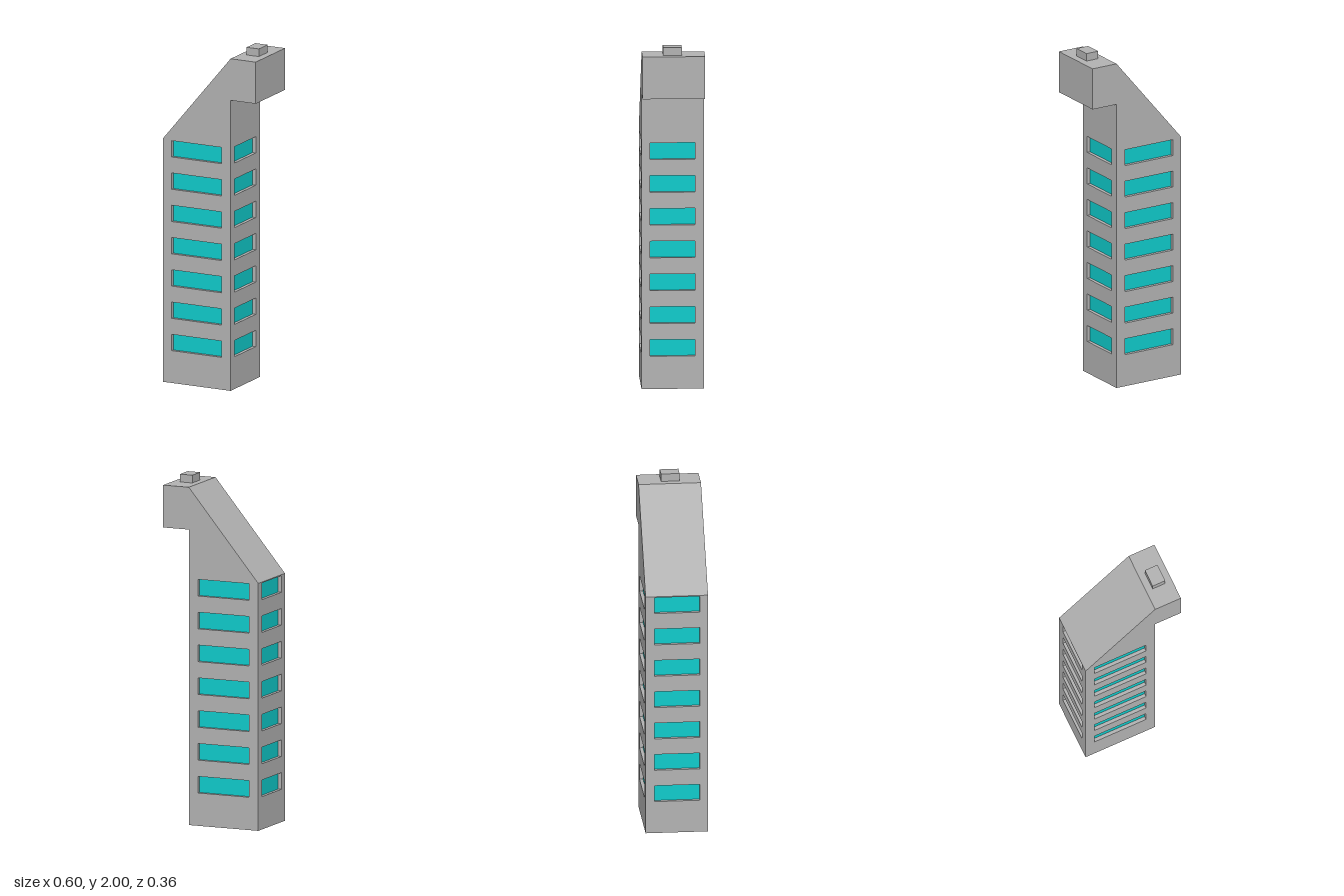
import * as THREE from 'three';

const X0 = -0.3, X1 = 0.137, Z0 = -0.18, Z1 = 0.177;
const EAVE = 1.432, PEAK = 1.955, DEPTH = 0.02;

export function createModel() {
  const concrete = new THREE.MeshStandardMaterial({ color: 0xb3b3b3 });
  concrete.name = 'concrete grey';
  const glass = new THREE.MeshStandardMaterial({ color: 0x10cccc });
  glass.name = 'window cyan';
  const tower = new THREE.Group();
  tower.name = 'tower';

  const add = (name, geometry, material) => {
    const mesh = new THREE.Mesh(geometry, material);
    mesh.name = name;
    tower.add(mesh);
    return mesh;
  };
  const box = (name, x0, x1, y0, y1, z0, z1, material) =>
    add(name, new THREE.BoxGeometry(x1 - x0, y1 - y0, z1 - z0), material)
      .position.set((x0 + x1) / 2, (y0 + y1) / 2, (z0 + z1) / 2);
  const outline = (points) => new THREE.Shape(points.map(([x, y]) => new THREE.Vector2(x, y)));
  const extrude = (shape, depth) =>
    new THREE.ExtrudeGeometry(shape, { depth, bevelEnabled: false });

  // Wall sheet with seven window openings
  const wall = (u0, u1, w0, w1) => {
    const shape = outline([[u0, 0], [u1, 0], [u1, EAVE], [u0, EAVE]]);
    for (let floor = 0; floor < 7; floor++) {
      const y = 0.19 + floor * 0.19, top = y + 0.096;
      shape.holes.push(outline([[w0, y], [w0, top], [w1, top], [w1, y]]));
    }
    return extrude(shape, DEPTH);
  };

  // Front and back walls
  add('frontWall', wall(X0, X1, -0.243, 0.08), concrete).position.z = Z1 - DEPTH;
  add('backWall', wall(X0, X1, -0.243, 0.08), concrete).position.z = Z0;

  // End walls, turned so the sheet runs along z
  for (const [name, x] of [['leftWall', X1 - DEPTH], ['rightWall', X0]]) {
    const geometry = wall(-Z1 + DEPTH, -Z0 - DEPTH, -0.13, 0.128);
    geometry.rotateY(Math.PI / 2);
    add(name, geometry, concrete).position.x = x;
  }

  // Recessed glazing behind every opening, and the floor
  box('windowGlazing', X0 + DEPTH, X1 - DEPTH, 0.1, EAVE - 0.002, Z0 + DEPTH, Z1 - DEPTH, glass);
  box('floorSlab', X0 + DEPTH, X1 - DEPTH, 0, 0.05, Z0 + DEPTH, Z1 - DEPTH, concrete);

  // Sloping roof
  const roof = outline([[X0, EAVE], [X1, EAVE], [X1, PEAK]]);
  add('slopingRoof', extrude(roof, Z1 - Z0), concrete).position.z = Z0;

  // Overhanging top room and its roof hatch
  box('overhangingRoom', X1, 0.299, 1.71, PEAK, Z0, Z1, concrete);
  box('roofHatch', 0.177, 0.256, PEAK, 2, -0.048, 0.058, concrete);

  return tower;
}
